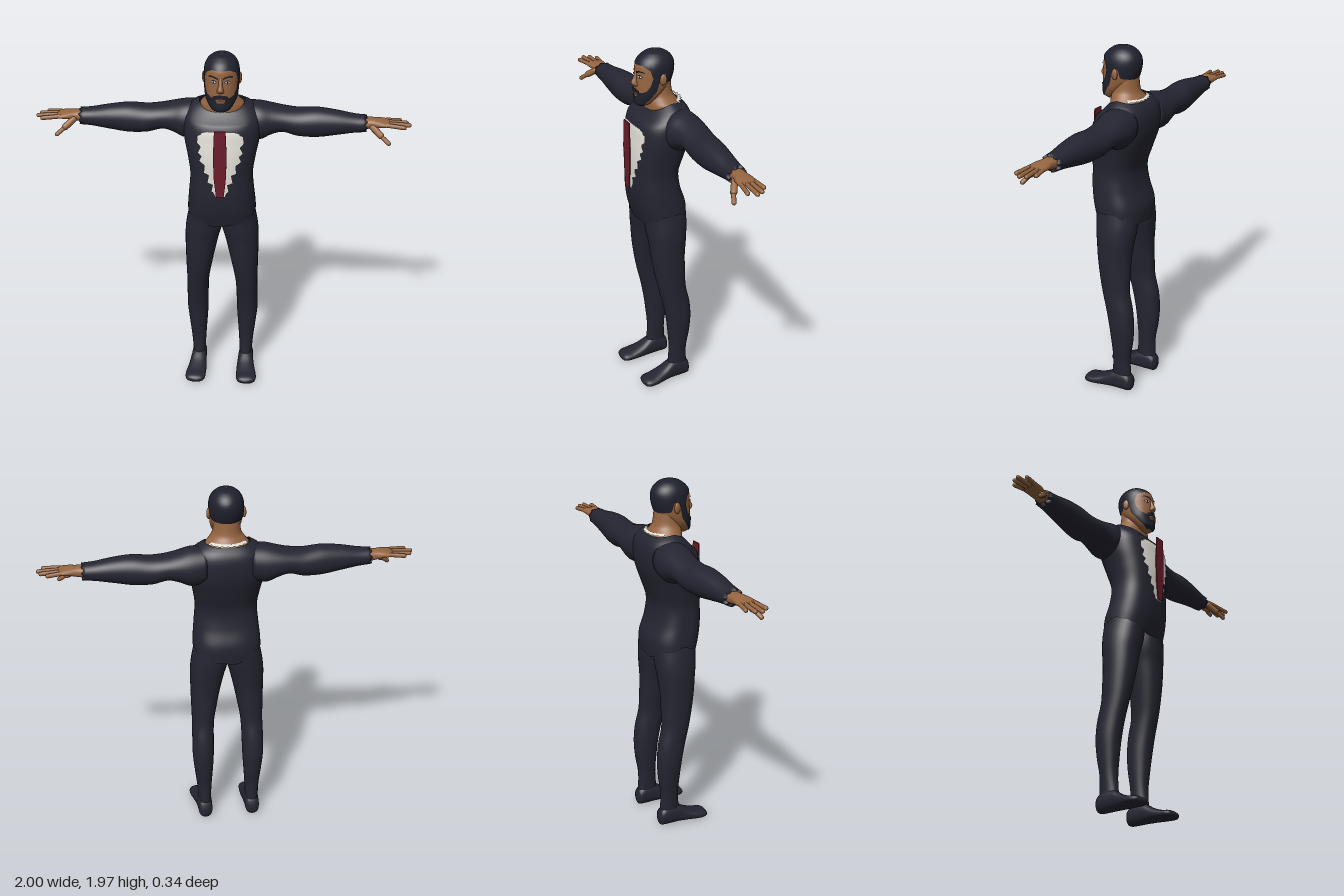
import * as THREE from 'three';

const mat = (name, color, side = THREE.FrontSide) => {
  const m = new THREE.MeshStandardMaterial({ color, side });
  m.name = name;
  return m;
};

// Smooth interpolation of a table of sections [key, aMax, aMin, bMax, bMin]
function at(rows, k) {
  let i = 0;
  while (i < rows.length - 2 && k > rows[i + 1][0]) i++;
  const r = (n) => rows[Math.min(Math.max(n, 0), rows.length - 1)];
  const p = r(i - 1), a = r(i), b = r(i + 1), q = r(i + 2), h = b[0] - a[0];
  const t = Math.min(Math.max((k - a[0]) / h, 0), 1), t2 = t * t, t3 = t2 * t;
  return a.slice(1).map((v, n) => {
    const c = n + 1, m0 = h * (b[c] - p[c]) / (b[0] - p[0]), m1 = h * (q[c] - a[c]) / (q[0] - a[0]);
    return (2 * t3 - 3 * t2 + 1) * v + (t3 - 2 * t2 + t) * m0 + (3 * t2 - 2 * t3) * b[c] + (t3 - t2) * m1;
  });
}

// Point on the rounded section at key k; axes are cyclic, so outsides face out
const bend = (v, p) => Math.sign(v) * Math.abs(v) ** p;
function point(rows, axis, k, ang, p = 1, grow = 0) {
  const [a1, a0, b1, b0] = at(rows, k);
  const a = (a1 + a0) / 2 + ((a1 - a0) / 2 + grow) * bend(Math.cos(ang), p);
  const b = (b1 + b0) / 2 + ((b1 - b0) / 2 + grow) * bend(Math.sin(ang), p);
  return axis === 'y' ? [b, k, a] : axis === 'x' ? [k, a, b] : [a, b, k];
}

function grid(nu, nv, fn, closed = false) {
  const w = closed ? nu : nu + 1, pos = [], idx = [];
  for (let j = 0; j <= nv; j++) for (let i = 0; i < w; i++) pos.push(...fn(i / nu, j / nv));
  for (let j = 0; j < nv; j++) for (let i = 0; i < nu; i++) {
    const a = j * w + i, b = j * w + (i + 1) % w, c = b + w, d = a + w;
    idx.push(a, b, c, a, c, d);
  }
  const g = new THREE.BufferGeometry();
  g.setAttribute('position', new THREE.Float32BufferAttribute(pos, 3));
  g.setIndex(idx);
  g.computeVertexNormals();
  return g;
}

// Closed loft through the sections, with end caps
function loft(rows, axis, { p = 1, nu = 32, nv = 40, jag = 0 } = {}) {
  const k0 = rows[0][0], k1 = rows[rows.length - 1][0];
  return grid(nu, nv + 2, (u, v) => {
    const j = Math.round(v * (nv + 2)) - 1, cap = j < 0 || j > nv;
    const k = k0 + (k1 - k0) * Math.min(Math.max(j / nv, 0), 1);
    const ang = u * Math.PI * 2;
    if (!cap) {
      const q = point(rows, axis, k, ang, p);
      if (j === nv && jag) q[0] += jag * Math.sin(ang * 8);
      return q;
    }
    const o = point(rows, axis, k, 0, p), e = point(rows, axis, k, Math.PI, p);
    return o.map((c, n) => (c + e[n]) / 2);
  }, true);
}

function mirrored(geo) {
  const g = geo.clone().applyMatrix4(new THREE.Matrix4().makeScale(-1, 1, 1));
  const ix = g.index.array;
  for (let i = 0; i < ix.length; i += 3) [ix[i], ix[i + 1]] = [ix[i + 1], ix[i]];
  return g;
}

function capsule(a, b, r) {
  const A = new THREE.Vector3(...a), d = new THREE.Vector3(...b).sub(A), len = d.length();
  const g = new THREE.CapsuleGeometry(r, len - r, 5, 10);
  g.applyQuaternion(new THREE.Quaternion().setFromUnitVectors(new THREE.Vector3(0, 1, 0), d.clone().normalize()));
  return g.translate(...A.addScaledVector(d, 0.5).toArray());
}

// Straight-line lookup in [x, y] pairs
function line(pts, x) {
  let i = 0;
  while (i < pts.length - 2 && x > pts[i + 1][0]) i++;
  const [x0, y0] = pts[i], [x1, y1] = pts[i + 1];
  return THREE.MathUtils.lerp(y0, y1, Math.min(Math.max((x - x0) / (x1 - x0), 0), 1));
}

const sym = (rows) => rows.map(([y, w, f, b]) => [y, f, b, w, -w]);

const TORSO = sym([[1, .185, .11, -.14], [1.1, .184, .138, -.143], [1.2, .175, .15, -.112], [1.3, .168, .15, -.102],
  [1.4, .182, .15, -.132], [1.5, .202, .14, -.163], [1.58, .205, .126, -.17], [1.64, .19, .09, -.163], [1.68, .155, .068, -.145], [1.7, .12, .06, -.125]]);
const HEAD = sym([[1.675, .025, .1, .05], [1.685, .042, .112, .035], [1.7, .056, .117, .015], [1.74, .077, .116, -.025], [1.78, .085, .117, -.065],
  [1.82, .088, .116, -.085], [1.86, .09, .114, -.095], [1.9, .086, .11, -.095], [1.93, .073, .09, -.08], [1.95, .053, .064, -.057], [1.96, .034, .042, -.035], [1.965, .004, .008, -.002]]);
const NECK = sym([[1.62, .12, .06, -.125], [1.68, .116, .06, -.122], [1.7, .1, .06, -.107], [1.73, .079, .057, -.09], [1.78, .07, .05, -.083], [1.83, .065, .03, -.08]]);
const NOSE = sym([[1.785, .006, .117, .1], [1.79, .019, .128, .1], [1.805, .017, .141, .1], [1.83, .011, .131, .1], [1.86, .009, .118, .1], [1.875, .005, .111, .1]]);
const ARM = [[.12, 1.675, 1.48, .03, -.16], [.2, 1.672, 1.465, .04, -.168], [.26, 1.658, 1.492, .025, -.166], [.32, 1.645, 1.508, .016, -.16], [.4, 1.638, 1.488, .016, -.153],
  [.5, 1.645, 1.485, .016, -.14], [.6, 1.635, 1.5, .01, -.125], [.7, 1.617, 1.517, 0, -.112], [.76, 1.612, 1.522, -.003, -.107]];
const PALM = [[.73, 1.6, 1.535, -.015, -.098], [.79, 1.6, 1.545, -.015, -.093], [.83, 1.597, 1.555, -.003, -.098], [.87, 1.59, 1.561, .002, -.1], [.887, 1.583, 1.567, -.004, -.094]];
const LEG = [[.04, 0, -.13, .17, .1], [.1, -.013, -.125, .17, .1], [.2, -.02, -.122, .178, .095], [.3, -.012, -.137, .19, .088], [.4, 0, -.143, .2, .082], [.5, .02, -.135, .2, .08],
  [.6, .045, -.113, .198, .075], [.7, .065, -.11, .2, .058], [.8, .08, -.11, .202, .038], [.9, .09, -.12, .203, .015], [.95, .098, -.126, .2, 0], [1, .102, -.13, .193, -.01], [1.1, .115, -.13, .172, -.01]];
const FOOT = [[-.138, .15, .12, .06, .02], [-.13, .17, .1, .09, .005], [-.09, .176, .095, .115, 0], [-.03, .18, .092, .11, 0], [.03, .19, .088, .075, 0],
  [.09, .202, .088, .052, 0], [.13, .2, .092, .045, 0], [.15, .185, .105, .036, .006], [.156, .16, .125, .027, .015]];

export function createModel() {
  const model = new THREE.Group();
  const suit = mat('suit navy', 0x252532, THREE.DoubleSide), hair = mat('hair black', 0x1f212d);
  const skin = mat('skin brown', 0x966540), white = mat('shirt white', 0xe2dfd6, THREE.DoubleSide);
  const red = mat('tie red', 0x6c1c2a), lip = mat('lip brown', 0x6e432e);
  const add = (name, geo, m) => {
    const mesh = new THREE.Mesh(geo, m);
    mesh.name = name;
    model.add(mesh);
  };
  const pair = (name, geo, m) => {
    add('left' + name, geo, m);
    add('right' + name, mirrored(geo), m);
  };

  // Tunic with a dipping ragged hem and a sloped neckline
  add('torso', grid(64, 48, (u, v) => {
    const t = u * Math.PI * 2, c = Math.cos(t);
    const hem = 1.075 - .07 * Math.abs(c) ** 1.6 + .005 * Math.sin(t * 11);
    const q = point(TORSO, 'y', THREE.MathUtils.lerp(hem, 1.7, v), t, .8);
    q[1] -= (c > 0 ? .045 : .015) * Math.abs(c) * Math.max(0, v - .85) / .15;
    return q;
  }, true), suit);

  // Ragged white shirt panel lying on the chest
  const edge = [[1.21, .025], [1.235, .035], [1.24, .045], [1.28, .037], [1.29, .066], [1.335, .058], [1.345, .085], [1.39, .08], [1.41, .11],
    [1.44, .097], [1.455, .118], [1.49, .102], [1.51, .122], [1.55, .118], [1.555, .1], [1.565, .1], [1.573, .07]];
  add('shirtPanel', grid(16, 72, (u, v) => {
    const y = 1.21 + .363 * v, x = (u * 2 - 1) * line(edge, y);
    const [f, b, w] = at(TORSO, y);
    return [x, y, (f + b) / 2 + (f - b) / 2 * (1 - Math.abs(x / w) ** 2.5) ** .4 + .006];
  }), white);

  // Ragged white collar lining behind the neck
  add('collarLining', grid(36, 2, (u, v) => {
    const t = Math.PI + (u - .5) * 1.9, r = 1 - .16 * v + (v === 0 ? .05 * Math.sin(u * 50) : 0);
    return [.13 * r * Math.sin(t), 1.693 + .008 * v, -.01 + .125 * r * Math.cos(t)];
  }), white);

  // Tie standing just off the chest
  const tie = new THREE.Shape([[-.02, 1.21], [.02, 1.21], [.032, 1.32], [.036, 1.45], [.03, 1.595], [-.03, 1.595], [-.036, 1.45], [-.032, 1.32]]
    .map(([x, y]) => new THREE.Vector2(x, y)));
  add('tie', new THREE.ExtrudeGeometry(tie, { depth: .006, bevelEnabled: false }).translate(0, 0, .165), red);

  // Limbs
  pair('Sleeve', loft(ARM, 'x', { p: .95, nu: 48, jag: .007 }), suit);
  pair('Leg', loft(LEG, 'y', { p: .92, nv: 50 }), suit);
  pair('Foot', loft(FOOT, 'z', { p: .85 }), suit);

  // Hands: palm, four fanned fingers and a lowered thumb
  pair('Palm', loft(PALM, 'x', { p: .85, nu: 24, nv: 16 }), skin);
  [[-.012, .004, .972], [-.037, -.034, 1], [-.063, -.067, .987], [-.087, -.098, .952]].forEach(([z0, z1, x], i) =>
    pair('Finger' + (i + 1), capsule([.865, 1.577, z0], [x - .006, 1.571, z1], .0115), skin));
  pair('ThumbBase', capsule([.79, 1.565, -.025], [.845, 1.52, .012], .018), skin);
  pair('Thumb', capsule([.835, 1.528, .008], [.886, 1.488, .032], .012), skin);

  // Head and neck
  add('neck', loft(NECK, 'y'), skin);
  add('head', loft(HEAD, 'y', { nu: 48, nv: 70 }), skin);
  add('nose', loft(NOSE, 'y', { nu: 20, nv: 24 }), skin);
  pair('Ear', new THREE.SphereGeometry(1, 16, 12).scale(.011, .031, .02).rotateY(-.3).translate(.093, 1.832, .002), skin);

  // Thin patches that follow the head between two heights over a range of angles
  const patch = (t0, t1, low, high, grow, nu = 16, nv = 4) => grid(nu, nv, (u, v) => {
    const t = THREE.MathUtils.lerp(t0, t1, u);
    return point(HEAD, 'y', THREE.MathUtils.lerp(low(t, u), high(t, u), v), t, 1, grow);
  });
  const hairline = [[0, 1.905], [.55, 1.907], [.8, 1.895], [1, 1.885], [1.15, 1.84], [1.5, 1.84], [1.6, 1.865], [1.8, 1.86], [2, 1.81], [3.2, 1.795]];
  const beardTop = [[0, 1.733], [.25, 1.733], [.34, 1.76], [.6, 1.76], [.9, 1.772], [1.08, 1.8], [1.16, 1.845], [1.5, 1.845]];
  const beardLow = [[0, 1.676], [.9, 1.676], [1.2, 1.7], [1.5, 1.765]];
  add('hair', grid(96, 28, (u, v) => {
    const t = (u * 2 - 1) * Math.PI, y = THREE.MathUtils.lerp(line(hairline, Math.abs(t)), 1.965, Math.sin(v * Math.PI / 2));
    const q = point(HEAD, 'y', y, t, 1, .004 * (1 - v ** 8));
    q[1] += .003 * v;
    return q;
  }, true), hair);
  add('beard', patch(-1.5, 1.5, (t) => line(beardLow, Math.abs(t)), (t) => line(beardTop, Math.abs(t)), .005, 80, 14), hair);
  add('moustache', patch(-.46, .46, (t) => 1.757 - .07 * t * t, (t) => 1.778 - .05 * t * t, .007, 24), hair);
  add('lips', patch(-.26, .26, () => 1.738, (t) => 1.752 - .1 * t * t, .004), lip);

  // Brows and eyes
  const lens = (y, h, s) => (t, u) => y + s * h * Math.sin(Math.PI * u);
  pair('Brow', patch(.13, .72, (t, u) => 1.86 + .012 * Math.sin(u * 2.4), (t, u) => 1.871 + .012 * Math.sin(u * 2.4) - .006 * u, .006), hair);
  pair('EyeLine', patch(.2, .6, lens(1.846, .01, -1), lens(1.846, .011, 1), .002), hair);
  pair('EyeWhite', patch(.25, .55, lens(1.846, .006, -1), lens(1.846, .006, 1), .0035), white);
  pair('Iris', patch(.34, .46, lens(1.846, .006, -1), lens(1.846, .006, 1), .005), hair);
  return model;
}
